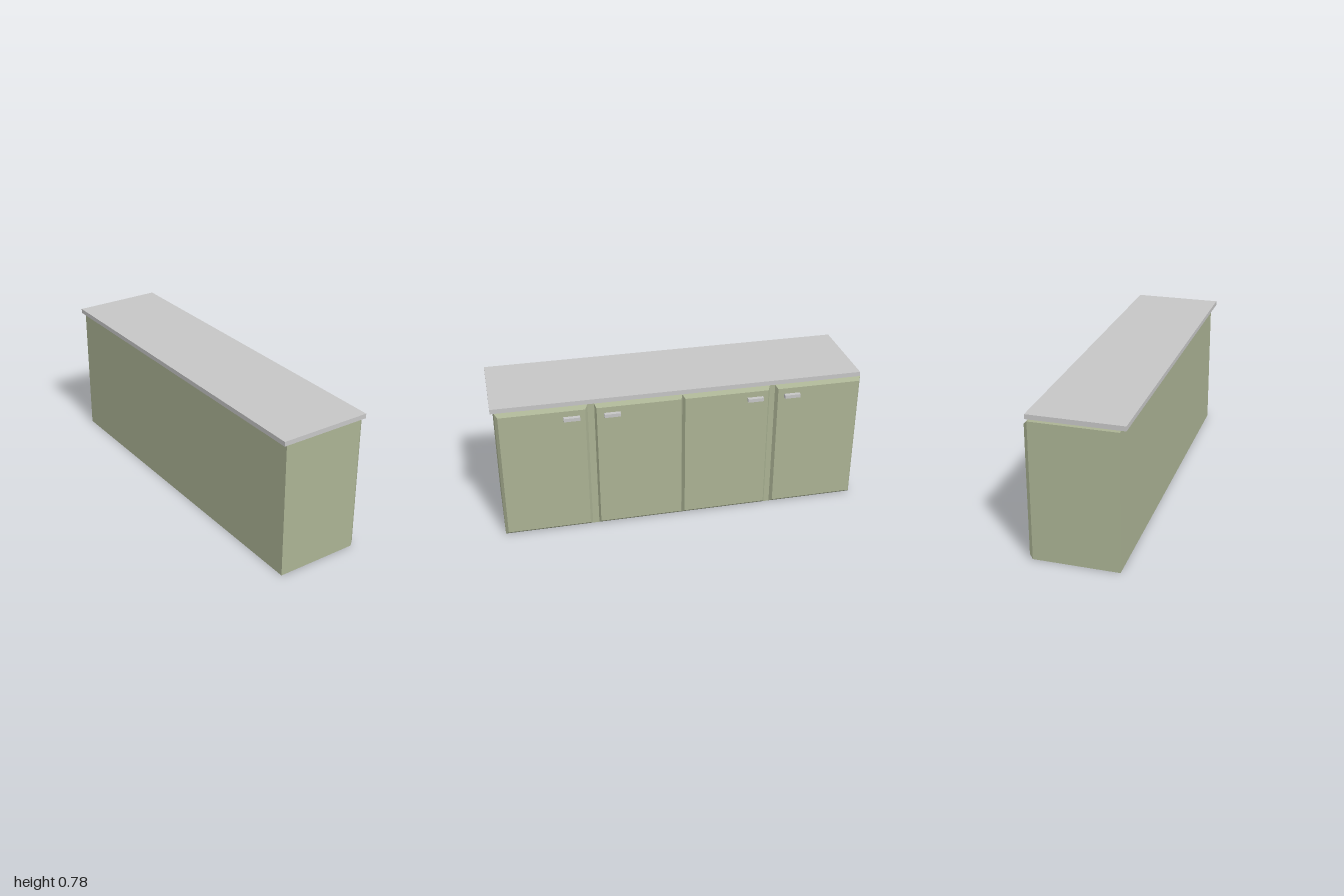
import * as THREE from 'three';

const green = new THREE.MeshStandardMaterial({ name: 'sageGreen', color: 0xabb394 });
const grey = new THREE.MeshStandardMaterial({ name: 'lightGrey', color: 0xc6c6c6 });

// Box given by its minimum and maximum on each axis
function box(name, material, [x0, x1], [y0, y1], [z0, z1]) {
  const geometry = new THREE.BoxGeometry(x1 - x0, y1 - y0, z1 - z0);
  const mesh = new THREE.Mesh(geometry, material);
  mesh.position.set((x0 + x1) / 2, (y0 + y1) / 2, (z0 + z1) / 2);
  mesh.name = name;
  return mesh;
}

// Door panel whose outer face is inset on all four edges
function bevelledDoor(name, zRange, inset) {
  const mesh = box(name, green, [0.22, 0.24], [0, 0.748], zRange);
  const p = mesh.geometry.attributes.position;
  for (let i = 0; i < p.count; i++) {
    if (p.getX(i) < 0) continue;
    p.setY(i, p.getY(i) - Math.sign(p.getY(i)) * 0.019);
    p.setZ(i, p.getZ(i) - Math.sign(p.getZ(i)) * inset);
  }
  mesh.geometry = mesh.geometry.toNonIndexed();
  mesh.geometry.computeVertexNormals();
  return mesh;
}

export function createModel() {
  const group = new THREE.Group();
  group.name = 'cabinet';

  // Carcass, with the worktop held just above it
  group.add(box('carcass', green, [-0.235, 0.22], [0, 0.748], [-0.998, 0.98]));
  group.add(box('worktop', grey, [-0.264, 0.234], [0.755, 0.78], [-0.99, 1]));

  // Four doors along the +x side, with two wider recesses between pairs
  const doors = [[0.5, 0.98], [-0.004, 0.465], [-0.485, -0.004], [-0.998, -0.515]];
  const insets = [0.015, 0.009, 0.012, 0.013];
  doors.forEach((range, i) => group.add(bevelledDoor('door' + (i + 1), range, insets[i])));

  // Pull handles near the upper opening edge of each door
  [0.588, 0.375, -0.4, -0.605].forEach((z, i) =>
    group.add(box('handle' + (i + 1), grey, [0.238, 0.262], [0.678, 0.697], [z - 0.043, z + 0.043])));

  return group;
}
